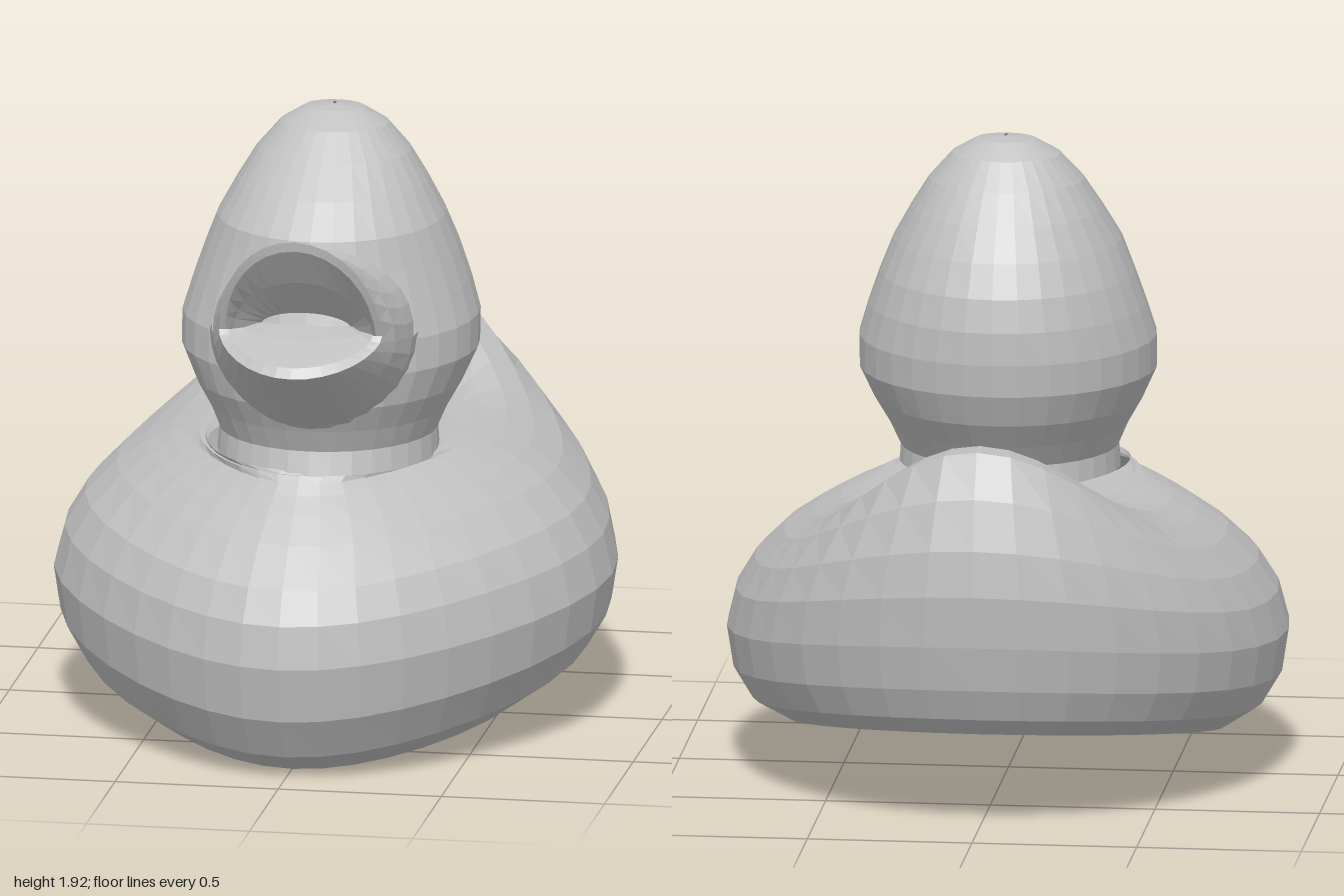
import * as THREE from 'three';

const grey = new THREE.MeshStandardMaterial({ color: 0xc0c0c0, flatShading: true, side: THREE.DoubleSide });
grey.name = 'grey rubber';

// Skin a list of equally long cross-sections into one faceted surface.
function skin(name, loops) {
  const n = loops[0].length;
  const index = [];
  for (let i = 0; i < loops.length - 1; i++) {
    for (let j = 0; j < n - 1; j++) {
      const a = i * n + j, b = a + n;
      index.push(a, a + 1, b, a + 1, b + 1, b);
    }
  }
  const geo = new THREE.BufferGeometry();
  geo.setAttribute('position', new THREE.Float32BufferAttribute(loops.flat(2), 3));
  geo.setIndex(index);
  geo.computeVertexNormals();
  const mesh = new THREE.Mesh(geo, grey);
  mesh.name = name;
  return mesh;
}

// Ring through a front point (z, y), side points (half width, y) and a back point (z, y).
// bend 1 keeps the ring flat, more sweeps its ends up; taper narrows the front.
function ring([zf, yf, w, ys, zb, yb], bend = 1, taper = 0, shift = 0, n = 36) {
  return Array.from({ length: n + 1 }, (_, j) => {
    const a = (j / n) * Math.PI * 2;
    const c = Math.cos(a), k = Math.pow(Math.abs(c), c > 0 ? Math.min(bend, 2) : bend);
    const narrow = c > 0 ? 1 - taper * c * c : 1;
    return [
      shift + w * Math.sin(a) * narrow,
      ys + ((c > 0 ? yf : yb) - ys) * k,
      (zf + zb) / 2 + ((zf - zb) / 2) * c,
    ];
  });
}

// Half-ellipse lip: corners at (half width, y, z), crown at (y, z); point sharpens its tip.
function arch([h, yc, zc, yt, zt], dir, point, n = 16) {
  return Array.from({ length: n + 1 }, (_, j) => {
    const a = (j / n) * Math.PI, s = Math.sin(a);
    return [
      0.03 + dir * h * Math.cos(a),
      yc + (yt - yc) * s,
      zc + (zt - zc) * Math.pow(s, point),
    ];
  });
}

export function createModel() {
  const duck = new THREE.Group();
  duck.name = 'duck';

  // Body with sloping underside, small plug hole, upswept tail and dished back
  const bodyRings = [
    [-0.03, 0.20, 0.01, 0.20, -0.05, 0.20],
    [0.04, 0.14, 0.08, 0.15, -0.12, 0.167],
    [0.76, 0.00, 0.65, 0.145, -0.84, 0.30],
    [0.89, 0.07, 0.77, 0.22, -0.91, 0.36],
    [0.97, 0.20, 0.83, 0.32, -0.955, 0.46],
    [1.00, 0.37, 0.85, 0.45, -0.985, 0.60],
    [0.98, 0.50, 0.82, 0.57, -1.00, 0.76],
    [0.93, 0.60, 0.76, 0.67, -0.985, 0.90],
    [0.82, 0.71, 0.67, 0.76, -0.94, 1.05],
    [0.74, 0.78, 0.58, 0.82, -0.87, 1.18],
    [0.68, 0.83, 0.50, 0.86, -0.78, 1.18],
    [0.65, 0.86, 0.44, 0.88, -0.68, 1.03],
    [0.63, 0.88, 0.40, 0.89, -0.57, 0.92],
    [0.62, 0.88, 0.37, 0.89, -0.40, 0.87],
    [0.61, 0.89, 0.34, 0.90, -0.09, 0.88],
  ];
  duck.add(skin('body', bodyRings.map((r, i) => {
    const t = Math.min(1, Math.max(0, (i - 2) / 7));
    return ring(r, 1 + 1.8 * t, i < 12 ? 0.2 : 0);
  })));

  // Neck and head with full cheeks: [height, front z, half width, back z]
  const headRings = [
    [0.88, 0.62, 0.335, -0.09], [0.95, 0.60, 0.33, -0.08], [1.02, 0.63, 0.36, -0.13],
    [1.10, 0.67, 0.405, -0.19], [1.20, 0.68, 0.45, -0.235], [1.30, 0.67, 0.45, -0.247],
    [1.40, 0.64, 0.42, -0.245], [1.50, 0.61, 0.385, -0.225], [1.60, 0.585, 0.345, -0.18],
    [1.70, 0.49, 0.29, -0.12], [1.79, 0.39, 0.235, -0.05], [1.87, 0.30, 0.165, 0.02],
    [1.915, 0.22, 0.09, 0.085], [1.925, 0.17, 0.005, 0.14],
  ];
  duck.add(skin('head', headRings.map(([y, zf, w, zb]) =>
    ring([zf, y, w, y, zb, y], 1, 0, 0.025, 32))));

  // Open beak: each lip runs from the face out to its rim and back into the mouth
  const upper = [
    [0.31, 1.29, 0.46, 1.585, 0.55], [0.30, 1.31, 0.60, 1.585, 0.65],
    [0.28, 1.34, 0.72, 1.625, 0.78], [0.25, 1.36, 0.77, 1.68, 0.89],
    [0.23, 1.36, 0.77, 1.65, 0.885], [0.21, 1.36, 0.73, 1.53, 0.80],
    [0.14, 1.36, 0.68, 1.41, 0.70],
  ];
  const lower = [
    [0.32, 1.32, 0.46, 1.00, 0.60], [0.31, 1.32, 0.60, 1.06, 0.67],
    [0.28, 1.34, 0.71, 1.15, 0.79], [0.25, 1.37, 0.78, 1.27, 0.96],
    [0.22, 1.37, 0.78, 1.30, 0.94], [0.18, 1.37, 0.75, 1.35, 0.80],
    [0.14, 1.37, 0.68, 1.37, 0.70],
  ];
  duck.add(skin('upperBeak', upper.map((a) => arch(a, 1, 1))));
  duck.add(skin('lowerBeak', lower.map((a) => arch(a, -1, 1.6))));

  return duck;
}
